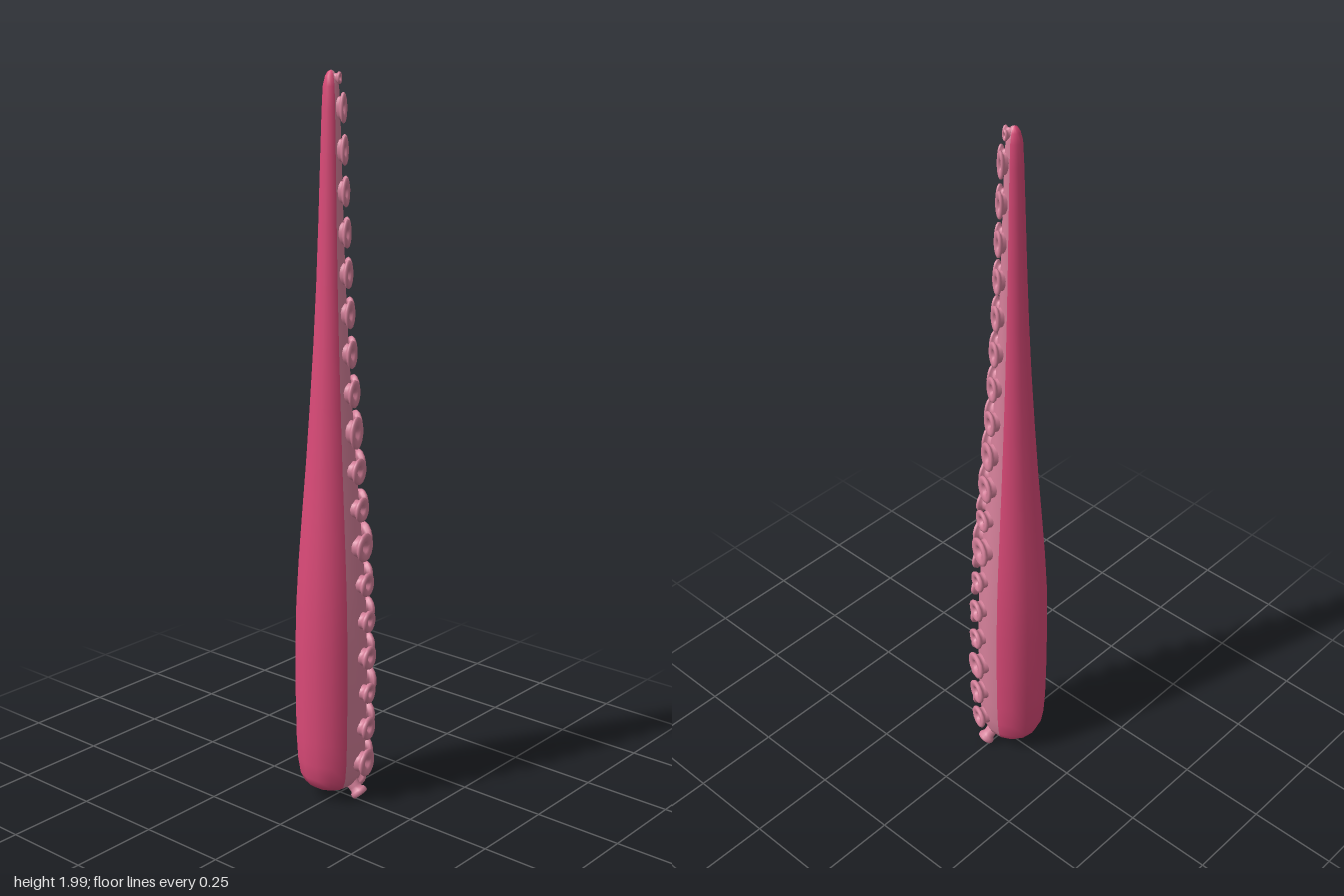
import * as THREE from 'three';

const crimson = new THREE.MeshStandardMaterial({ color: 0xdb4a78 });
crimson.name = 'crimson skin';
const pink = new THREE.MeshStandardMaterial({ color: 0xd5809a });
pink.name = 'pale pink underside';

// Body profile from the rounded base to the tip: radius, height
const PROFILE = [
  [0, 0.035], [0.03, 0.037], [0.055, 0.045], [0.075, 0.06], [0.087, 0.085], [0.094, 0.13], [0.098, 0.2],
  [0.1, 0.32], [0.1, 0.46], [0.097, 0.58], [0.09, 0.7], [0.08, 0.83], [0.068, 0.98], [0.057, 1.14],
  [0.047, 1.3], [0.039, 1.46], [0.033, 1.62], [0.028, 1.78], [0.024, 1.9], [0.021, 1.96], [0.015, 1.985],
  [0.008, 1.996], [0, 2],
].map(([r, y]) => new THREE.Vector2(r, y));

const SIDES = 14;
const STEP = (Math.PI * 2) / SIDES;
const FACING = THREE.MathUtils.degToRad(41); // direction of the underside, from +z toward +x

// The axis leans slightly from base to tip
const axisX = (y) => -0.014 - 0.007 * y;
const axisZ = (y) => -0.021 + 0.007 * y;

function radiusAt(y) {
  for (let i = 4; i < PROFILE.length; i++) {
    const a = PROFILE[i - 1], b = PROFILE[i];
    if (y <= b.y) return THREE.MathUtils.lerp(a.x, b.x, (y - a.y) / (b.y - a.y));
  }
  return 0;
}

// A slice of the tapered body, bent along the axis
function bodySlice(name, material, start, sides) {
  const geo = new THREE.LatheGeometry(PROFILE, sides, start, sides * STEP);
  const p = geo.attributes.position;
  for (let i = 0; i < p.count; i++) {
    const y = p.getY(i);
    p.setXYZ(i, p.getX(i) + axisX(y), y, p.getZ(i) + axisZ(y));
  }
  const mesh = new THREE.Mesh(geo, material);
  mesh.name = name;
  return mesh;
}

// Unit sucker: narrow neck, flared rim and a hollow centre
const suckerGeometry = new THREE.LatheGeometry([
  [0.8, -0.4], [0.72, 0.2], [0.74, 0.45], [0.95, 0.58], [1, 0.75], [0.95, 0.93],
  [0.78, 1], [0.55, 0.93], [0.36, 0.8], [0.24, 0.45], [0, 0.35],
].map(([r, y]) => new THREE.Vector2(r, y)), 14);

// Places a sucker at an angle around the body, tilted down by `tilt`
function sucker(phi, y, radius, width, height, length, tilt = 0) {
  const out = new THREE.Vector3(Math.sin(phi), 0, Math.cos(phi));
  const up = new THREE.Vector3(0, 1, 0);
  const normal = out.clone().multiplyScalar(Math.cos(tilt)).addScaledVector(up, -Math.sin(tilt));
  const along = out.clone().multiplyScalar(Math.sin(tilt)).addScaledVector(up, Math.cos(tilt));
  const side = new THREE.Vector3().crossVectors(normal, along);
  const mesh = new THREE.Mesh(suckerGeometry, pink);
  mesh.quaternion.setFromRotationMatrix(new THREE.Matrix4().makeBasis(side, normal, along));
  mesh.position.set(axisX(y) + out.x * radius, y, axisZ(y) + out.z * radius);
  mesh.scale.set(width, length, height);
  mesh.name = 'sucker';
  return mesh;
}

// Half heights of the suckers in each column, from the base upward
const COLUMNS = [
  { name: 'frontSuckers', turn: -0.5, sizes: [0.039, 0.033, 0.029, 0.033, 0.031, 0.033, 0.04, 0.034, 0.036, 0.045] },
  { name: 'sideSuckers', turn: 0.5, sizes: [0.034, 0.036, 0.041, 0.031, 0.033, 0.031, 0.043, 0.032, 0.041, 0.045] },
];

export function createModel() {
  const model = new THREE.Group();
  model.name = 'tentacle';

  // Body: dark back and pale underside
  const half = 2.5 * STEP;
  model.add(bodySlice('back', crimson, FACING + half, SIDES - 5));
  model.add(bodySlice('underside', pink, FACING - half, 5));

  for (const { name, turn, sizes } of COLUMNS) {
    const column = new THREE.Group();
    column.name = name;
    const phi = FACING + turn;
    // Small suckers curling under the base
    column.add(sucker(phi, 0.055, 0.07, 0.024, 0.024, 0.036, 0.85));
    // Main column, narrowing with the body
    for (let i = 0; i < 18; i++) {
      const y = 0.13 + i * 0.1045;
      const r = radiusAt(y);
      const h = sizes[i] ?? 0.038;
      column.add(sucker(phi, y, r * 0.97, Math.min(h, 0.005 + r * 0.42), h, 0.014 + r * 0.14));
    }
    // Tiny sucker at the tip
    column.add(sucker(phi, 1.98, 0.013, 0.01, 0.015, 0.015));
    model.add(column);
  }
  return model;
}
